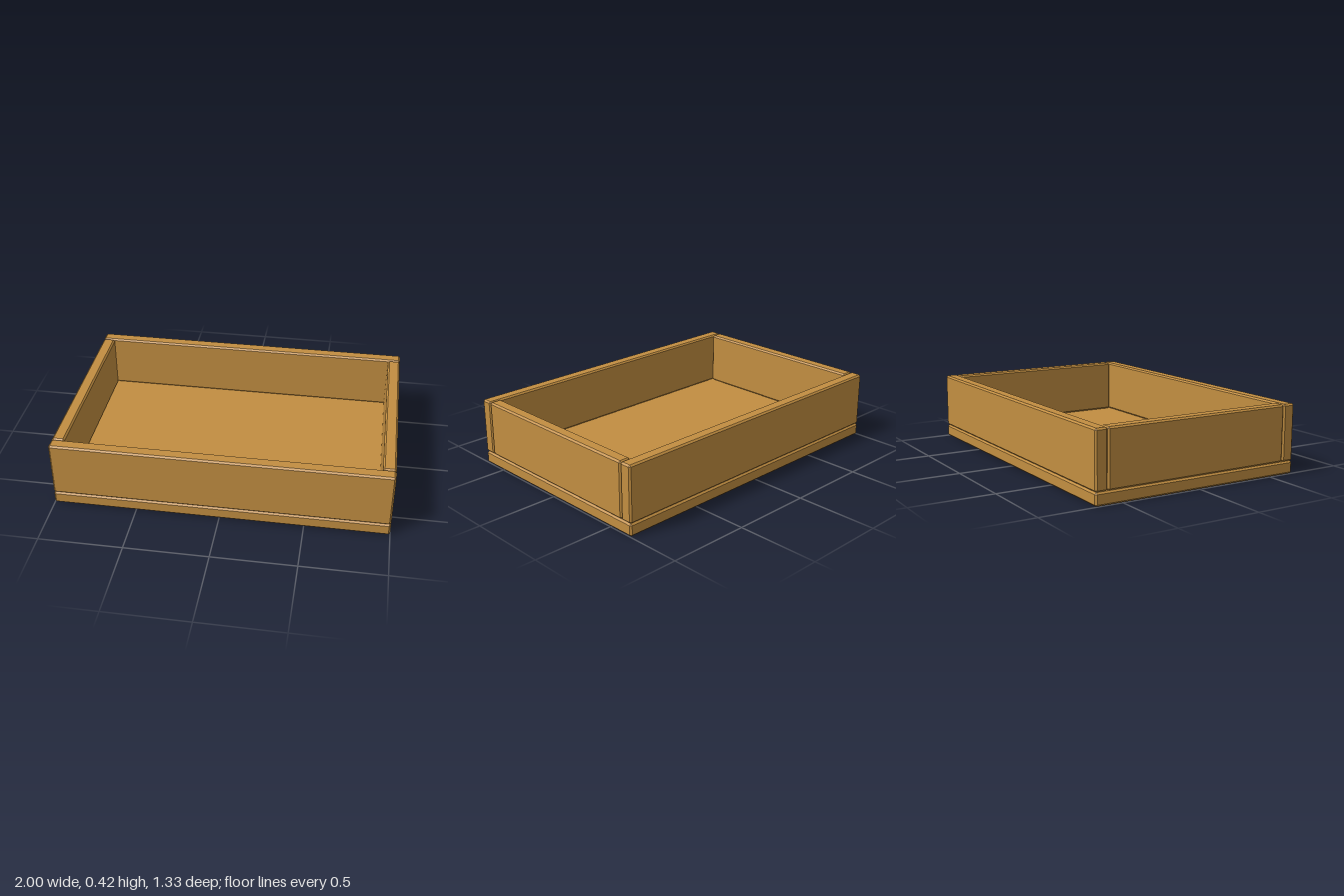
import * as THREE from 'three';
import { ConvexGeometry } from 'three/addons/geometries/ConvexGeometry.js';

const BEVEL = 0.01;

// Box with every edge chamfered: each corner becomes three points
function chamferedBox(w, h, d, b = BEVEL) {
  const points = [];
  for (const sx of [-1, 1]) for (const sy of [-1, 1]) for (const sz of [-1, 1]) {
    for (let axis = 0; axis < 3; axis++) {
      const inset = [b, b, b];
      inset[axis] = 0;
      points.push(new THREE.Vector3(
        sx * (w / 2 - inset[0]), sy * (h / 2 - inset[1]), sz * (d / 2 - inset[2])));
    }
  }
  return new ConvexGeometry(points);
}

export function createModel() {
  const tray = new THREE.Group();
  tray.name = 'woodenTray';
  const wood = new THREE.MeshStandardMaterial({ color: 0xc28e41 });
  wood.name = 'wood';

  const width = 2, depth = 1.333, height = 0.416;
  const thickness = 0.076;
  const wallHeight = height - thickness;
  const wallY = thickness + wallHeight / 2;

  const addBoard = (name, w, h, d, x, y, z) => {
    const board = new THREE.Mesh(chamferedBox(w, h, d), wood);
    board.name = name;
    board.position.set(x, y, z);
    tray.add(board);
  };

  // Bottom board
  addBoard('base', width, thickness, depth, 0, thickness / 2, 0);

  // Full-width front and back walls, with side walls fitted between them
  for (const s of [1, -1]) {
    addBoard(s > 0 ? 'frontWall' : 'backWall', width, wallHeight, thickness,
      0, wallY, s * (depth - thickness) / 2);
    addBoard(s > 0 ? 'leftWall' : 'rightWall', thickness, wallHeight, depth - 2 * thickness,
      s * (width - thickness) / 2, wallY, 0);
  }
  return tray;
}
